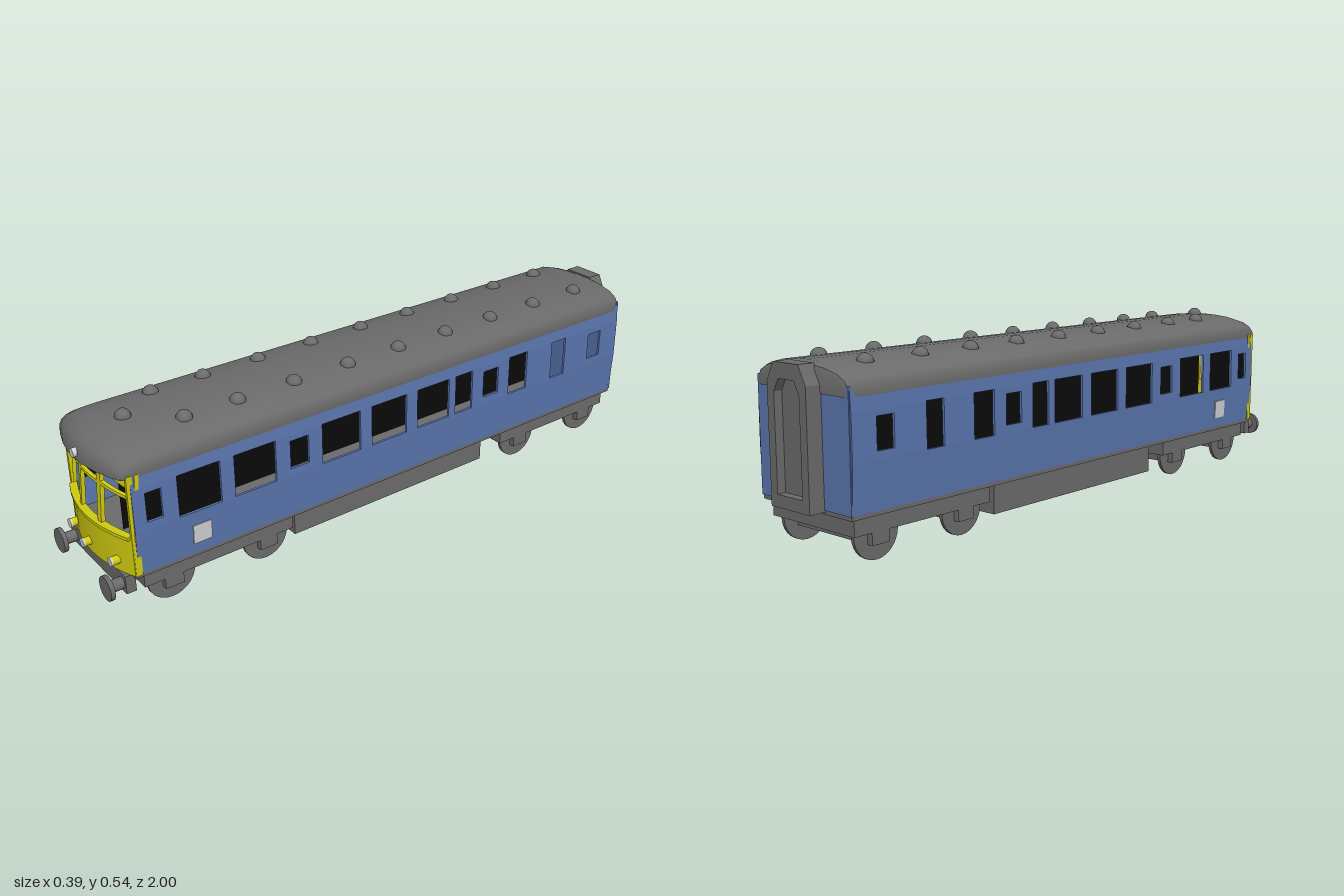
import * as THREE from 'three';
import { toCreasedNormals } from 'three/addons/utils/BufferGeometryUtils.js';

const mat = (name, color, side = THREE.FrontSide) => {
  const m = new THREE.MeshStandardMaterial({ color, side });
  m.name = name;
  return m;
};

export function createModel() {
  const root = new THREE.Group();
  root.name = 'railcar';
  const grey = mat('grey', 0x6b6b6b);
  const blue = mat('blue', 0x5a75ae);
  const yellow = mat('yellow', 0xd0cb10);
  const white = mat('white', 0xd2d2d2);
  const black = mat('black', 0x0a0a0a, THREE.DoubleSide);

  const add = (name, geo, m, x = 0, y = 0, z = 0) => {
    const mesh = new THREE.Mesh(geo, m);
    mesh.name = name;
    mesh.position.set(x, y, z);
    root.add(mesh);
    return mesh;
  };
  // Box given by its limits
  const box = (name, m, x0, x1, y0, y1, z0, z1) =>
    add(name, new THREE.BoxGeometry(x1 - x0, y1 - y0, z1 - z0), m, (x0 + x1) / 2, (y0 + y1) / 2, (z0 + z1) / 2);
  // Move every vertex by a rule
  const warp = (geo, rule) => {
    const p = geo.attributes.position, v = new THREE.Vector3();
    for (let i = 0; i < p.count; i++) {
      rule(v.fromBufferAttribute(p, i));
      p.setXYZ(i, v.x, v.y, v.z);
    }
    geo.computeVertexNormals();
    return geo;
  };

  // Side walls with open windows, bulging slightly at the waist
  const waist = [[0.14, 0.186], [0.275, 0.193], [0.405, 0.192], [0.46, 0.188]];
  const halfWidth = (y) => {
    for (let i = 1; i < waist.length; i++) {
      const [y0, x0] = waist[i - 1], [y1, x1] = waist[i];
      if (y <= y1 + 1e-5) return x0 + (x1 - x0) * (y - y0) / (y1 - y0);
    }
    return 0.188;
  };
  const sidePanel = (name, m, s, z0, z1, y0, y1, t = 0.008, out = 0) => {
    const g = new THREE.BoxGeometry(t, y1 - y0, z1 - z0);
    g.translate(0, (y0 + y1) / 2, (z0 + z1) / 2);
    warp(g, (v) => { v.x += s * (halfWidth(v.y) - t / 2 + out); });
    add(name, g, m);
  };
  // Windows from front to back: start, end, short or tall
  const windows = [[0.874, 0.826, 1], [0.778, 0.644, 0], [0.6, 0.463, 0], [0.414, 0.35, 1],
    [0.302, 0.163, 0], [0.12, -0.013, 0], [-0.056, -0.184, 0], [-0.211, -0.281, 0],
    [-0.329, -0.393, 1], [-0.441, -0.521, 0], [-0.634, -0.698, 0], [-0.81, -0.869, 1]];
  const bodyFront = 0.912, bodyBack = -0.95;
  for (const s of [-1, 1]) {
    sidePanel('lowerSide', blue, s, bodyBack, bodyFront, 0.14, 0.275);
    sidePanel('upperSide', blue, s, bodyBack, bodyFront, 0.405, 0.46);
    let edge = bodyFront;
    for (const [a, b, short] of windows) {
      sidePanel('windowPillar', blue, s, a, edge, 0.275, 0.405);
      if (short) {
        sidePanel('windowSill', blue, s, b, a, 0.275, 0.297);
        sidePanel('windowHead', blue, s, b, a, 0.387, 0.405);
      }
      edge = b;
    }
    sidePanel('windowPillar', blue, s, bodyBack, edge, 0.275, 0.405);
    sidePanel('sidePlate', white, s, 0.682, 0.74, 0.172, 0.232, 0.004, 0.003);
    sidePanel('cabSideGlass', black, s, 0.63, 0.89, 0.262, 0.415, 0.002, -0.009);
  }

  // End wall, floor and inner dividers
  box('rearWall', blue, -0.187, 0.187, 0.14, 0.47, -0.953, -0.945);
  box('floor', grey, -0.182, 0.182, 0.135, 0.17, -0.94, 0.91);
  box('ceiling', grey, -0.185, 0.185, 0.432, 0.445, -0.94, 0.91);
  const divider = add('centreDivider', new THREE.PlaneGeometry(1.78, 0.262), black, 0, 0.301, -0.03);
  divider.rotation.y = Math.PI / 2;
  add('rearPartition', new THREE.PlaneGeometry(0.366, 0.262), blue, 0, 0.301, -0.76);

  // Curved cab front, assembled from bowed strips
  const bow = (x, y) => 0.955 - 1.15 * x * x - 0.08 * Math.max(0, y - 0.26);
  const cabPiece = (name, x0, x1, bottom, top, out = 0, t = 0.012) => {
    const g = new THREE.BoxGeometry(1, 1, t, 8, 1, 1);
    warp(g, (v) => {
      const k = v.x + 0.5;
      const y = v.y < 0 ? bottom[0] + (bottom[1] - bottom[0]) * k : top[0] + (top[1] - top[0]) * k;
      v.x = x0 + (x1 - x0) * k;
      v.y = y;
      v.z += bow(v.x, y) + out - t / 2;
    });
    add(name, toCreasedNormals(g, 0.6), yellow);
  };
  cabPiece('cabApron', -0.189, 0.189, [0.138, 0.138], [0.256, 0.256], 0.006, 0.02);
  cabPiece('cabLedge', -0.178, 0.178, [0.252, 0.252], [0.262, 0.262], 0.012, 0.024);
  cabPiece('centreHeader', -0.066, 0.066, [0.425, 0.425], [0.452, 0.452]);
  cabPiece('centreTransom', -0.05, 0.05, [0.377, 0.377], [0.386, 0.386]);
  for (const s of [-1, 1]) {
    const piece = (name, x0, x1, b, t) => s > 0
      ? cabPiece(name, x0, x1, b, t)
      : cabPiece(name, -x1, -x0, [b[1], b[0]], [t[1], t[0]]);
    piece('cabPillar', 0.049, 0.066, [0.255, 0.255], [0.45, 0.45]);
    piece('cabCornerPost', 0.175, 0.192, [0.255, 0.255], [0.45, 0.45]);
    piece('sideHeader', 0.066, 0.176, [0.43, 0.4], [0.452, 0.452]);
    piece('sideTransom', 0.066, 0.176, [0.378, 0.37], [0.388, 0.378]);
    sidePanel('cabCornerEdge', yellow, s, 0.905, 0.922, 0.14, 0.45, 0.01, 0.002);
  }

  // Roof lofted through cross-sections, bowed at the front
  const half = [[0.19, 0.442], [0.191, 0.465], [0.181, 0.485], [0.152, 0.502], [0.1, 0.514], [0.05, 0.519], [0, 0.521]];
  const ring = [...half, ...half.slice(0, -1).reverse().map(([x, y]) => [-x, y])];
  // Station: z, width scale, rise scale, bow
  const stations = [[-0.956, 0.9, 0.8, 0], [-0.952, 0.96, 0.91, 0], [-0.93, 1, 1, 0], [0.84, 1, 1, 0],
    [0.89, 1, 0.96, 0.1], [0.93, 0.99, 0.84, 0.5], [0.958, 0.98, 0.62, 0.9], [0.973, 0.96, 0.36, 1.1], [0.976, 0.955, 0, 1.15]];
  const pos = [], idx = [], n = ring.length;
  for (const [z, w, h, b] of stations)
    for (const [x, y] of ring) pos.push(x * w, 0.442 + (y - 0.442) * h, z - b * x * x);
  for (let i = 0; i < stations.length - 1; i++)
    for (let j = 0; j < n; j++) {
      const a = i * n + j, b = i * n + (j + 1) % n;
      idx.push(a, b + n, b, a, a + n, b + n);
    }
  for (let j = 1; j < n - 1; j++) idx.push(0, j, j + 1);
  // Order each triangle so that it faces out of the roof
  const A = new THREE.Vector3(), B = new THREE.Vector3(), C = new THREE.Vector3(), N = new THREE.Vector3();
  for (let i = 0; i < idx.length; i += 3) {
    [A, B, C].forEach((v, k) => v.fromArray(pos, idx[i + k] * 3));
    N.subVectors(B, A).cross(C.clone().sub(A));
    const mid = A.clone().add(B).add(C).divideScalar(3);
    mid.y -= 0.46;
    mid.z -= THREE.MathUtils.clamp(mid.z, -0.9, 0.85);
    if (N.dot(mid) < 0) [idx[i + 1], idx[i + 2]] = [idx[i + 2], idx[i + 1]];
  }
  const roof = new THREE.BufferGeometry();
  roof.setAttribute('position', new THREE.Float32BufferAttribute(pos, 3));
  roof.setIndex(idx);
  add('roof', toCreasedNormals(roof, 0.7), grey);

  // Roof ventilators
  const dome = new THREE.SphereGeometry(0.024, 14, 7, 0, Math.PI * 2, 0, Math.PI / 2);
  for (const z of [-0.82, -0.628, -0.436, -0.245, -0.055, 0.137, 0.33, 0.52, 0.69])
    for (const s of [-1, 1]) add('roofVent', dome, grey, s * 0.095, 0.511, z);
  add('frontRoofVent', dome, grey, 0, 0.519, 0.825);

  // Lamps
  const rod = (name, m, r, z0, z1, x, y) => {
    const g = new THREE.CylinderGeometry(r, r, z1 - z0, 20);
    g.rotateX(Math.PI / 2);
    add(name, g, m, x, y, (z0 + z1) / 2);
  };
  for (const x of [-0.116, -0.003, 0.128]) {
    const z = bow(x, 0.17);
    rod('lampHousing', yellow, 0.0125, z - 0.01, z + 0.024, x, 0.173);
    rod('lampLens', white, 0.0135, z + 0.024, z + 0.03, x, 0.173);
  }
  rod('headlamp', white, 0.013, 0.95, 0.984, 0.005, 0.462);

  // Underframe, headstock and buffers
  box('underframe', grey, -0.184, 0.184, 0.128, 0.142, -0.95, 0.92);
  box('equipmentBox', grey, -0.133, 0.135, 0.026, 0.13, -0.385, 0.37);
  box('headstock', grey, -0.17, 0.17, 0.082, 0.138, 0.915, 0.945);
  for (const s of [-1, 1]) {
    rod('bufferStem', grey, 0.018, 0.93, 0.985, s * 0.146, 0.108);
    rod('bufferHead', grey, 0.037, 0.982, 0.995, s * 0.146, 0.108);
  }

  // Bogies with wheels and axle beams
  const wheel = new THREE.CylinderGeometry(0.075, 0.075, 0.011, 28);
  wheel.rotateZ(Math.PI / 2);
  for (const [front, back, axles] of [[0.89, 0.4, [0.798, 0.485]], [-0.44, -0.932, [-0.535, -0.845]]]) {
    box('bogieFrame', grey, -0.17, 0.17, 0.08, 0.132, back, front);
    for (const z of axles) {
      box('axleBeam', grey, -0.17, 0.17, 0.046, 0.082, z - 0.029, z + 0.029);
      for (const s of [-1, 1]) add('wheel', wheel, grey, s * 0.146, 0.075, z);
    }
  }

  // Rear gangway with a recessed door
  const outline = (w, topW, y0, y1, y2) => [[-w, y0], [w, y0], [w, y1], [topW, y2], [-topW, y2], [-w, y1]]
    .map(([x, y]) => new THREE.Vector2(x, y));
  const frame = new THREE.Shape(outline(0.08, 0.052, 0.135, 0.465, 0.518));
  frame.holes.push(new THREE.Path(outline(0.052, 0.032, 0.17, 0.44, 0.475)));
  add('gangwayFrame', new THREE.ExtrudeGeometry(frame, { depth: 0.05, bevelEnabled: false }), grey, 0, 0, -1);
  const door = new THREE.Shape(outline(0.054, 0.034, 0.168, 0.442, 0.478));
  add('gangwayDoor', new THREE.ExtrudeGeometry(door, { depth: 0.015, bevelEnabled: false }), grey, 0, 0, -0.975);

  return root;
}
